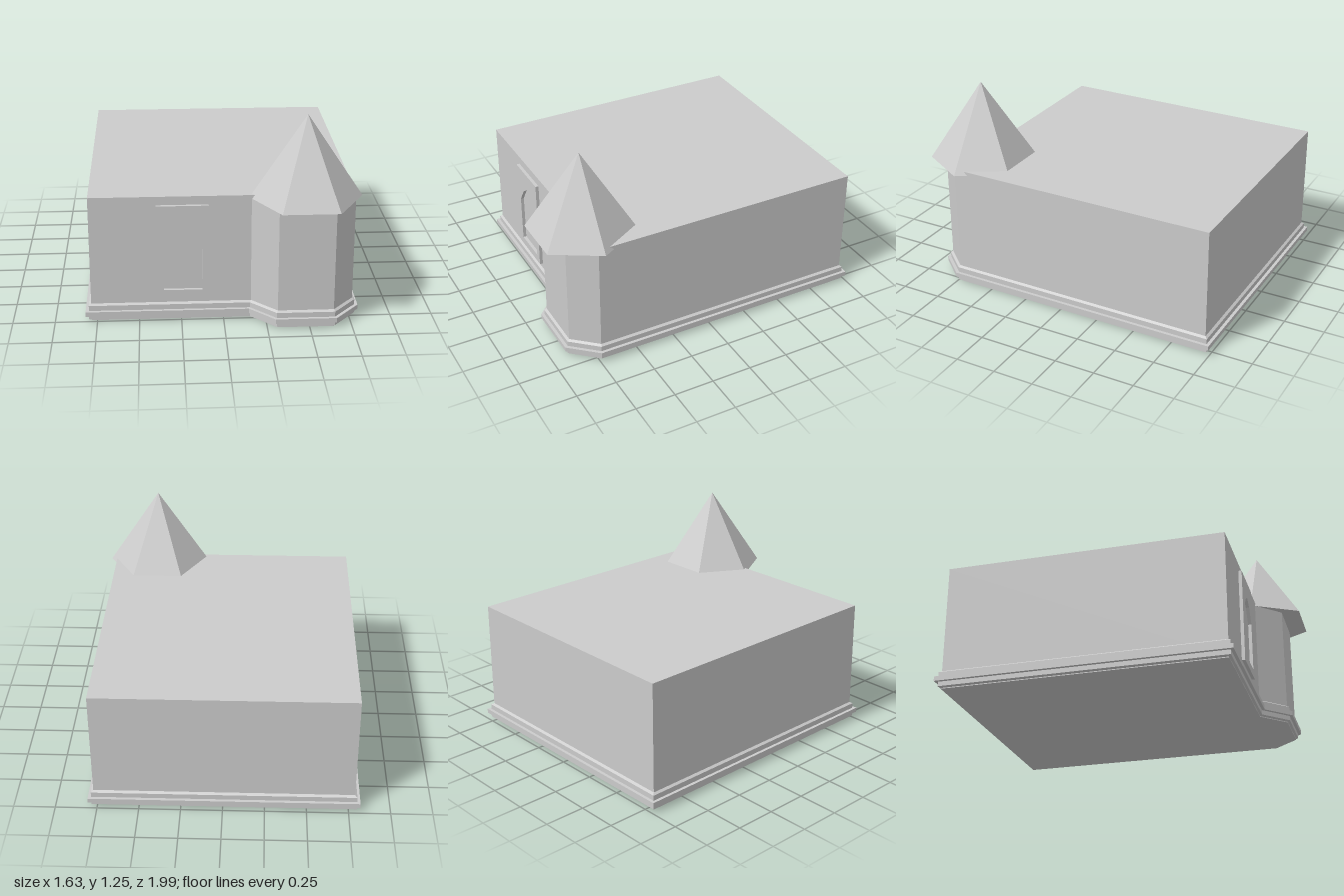
import * as THREE from 'three';

const material = new THREE.MeshStandardMaterial({ color: 0xcccccc, flatShading: true });

// Offsets a closed [x, z] outline outwards with mitred corners
function offsetOutline(points, d) {
  const n = points.length;
  const normal = (i) => {
    const a = points[(i + n) % n], b = points[(i + 1) % n];
    return new THREE.Vector2(b[1] - a[1], a[0] - b[0]).normalize();
  };
  return points.map(([x, z], i) => {
    const n0 = normal(i - 1), n1 = normal(i);
    const k = d / (1 + n0.dot(n1));
    return [x + (n0.x + n1.x) * k, z + (n0.y + n1.y) * k];
  });
}

// Stacks [offset, y] rings of an outline into a closed, flat-faced solid
function stackedSolid(points, profile) {
  const rings = profile.map(([d, y]) =>
    offsetOutline(points, d).map(([x, z]) => new THREE.Vector3(x, y, z)));
  const pos = [];
  const tri = (...corners) => corners.forEach((v) => pos.push(v.x, v.y, v.z));
  const n = points.length;
  for (let r = 0; r < rings.length - 1; r++) {
    const lo = rings[r], hi = rings[r + 1];
    for (let i = 0; i < n; i++) {
      const j = (i + 1) % n;
      tri(lo[i], hi[i], hi[j]);
      tri(lo[i], hi[j], lo[j]);
    }
  }
  const top = rings[rings.length - 1], bottom = rings[0];
  const caps = THREE.ShapeUtils.triangulateShape(points.map(([x, z]) => new THREE.Vector2(x, z)), []);
  for (const [a, b, c] of caps) {
    tri(bottom[a], bottom[b], bottom[c]);
    tri(top[a], top[c], top[b]);
  }
  const geometry = new THREE.BufferGeometry();
  geometry.setAttribute('position', new THREE.Float32BufferAttribute(pos, 3));
  geometry.computeVertexNormals();
  return geometry;
}

export function createModel() {
  const model = new THREE.Group();
  model.name = 'building';
  const add = (name, geometry, x = 0, y = 0, z = 0) => {
    const mesh = new THREE.Mesh(geometry, material);
    mesh.name = name;
    mesh.position.set(x, y, z);
    model.add(mesh);
    return mesh;
  };

  const left = -0.785, right = 0.77, back = -0.965, front = 0.732;
  const bay = [[right, front], [0.64, 0.88], [0.31, 0.88], [0.163, front]];

  // Main block
  add('mainWalls', stackedSolid(
    [[left, back], [right, back], [right, front], [left, front]], [[0, 0.005], [0, 0.78]]));

  // Corner tower: angled bay running back into the block
  add('towerWalls', stackedSolid(
    [[0.163, 0.6], [right - 0.01, 0.6], ...bay], [[0, 0.005], [0, 0.757]]));

  // Six-sided pointed roof
  const roof = add('towerRoof', new THREE.ConeGeometry(0.33, 0.498, 6), 0.48, 1.006, 0.706);
  roof.rotation.y = Math.PI / 2;

  // Moulded plinth following the whole footprint
  add('plinth', stackedSolid(
    [[left, back], [right, back], ...bay, [left, front]],
    [[0, 0], [0, 0.005], [0.014, 0.012], [0.014, 0.04], [0.033, 0.04],
      [0.033, 0.068], [0.014, 0.068], [0.014, 0.1], [0, 0.11]]));

  // Raised door surround with a pointed-arch recess
  const panel = new THREE.Shape([
    [-0.393, 0.147], [-0.087, 0.147], [-0.087, 0.728], [-0.393, 0.728],
  ].map(([x, y]) => new THREE.Vector2(x, y)));
  panel.holes.push(new THREE.Path([
    [-0.354, 0.196], [-0.354, 0.492], [-0.297, 0.58], [-0.24, 0.62],
    [-0.183, 0.58], [-0.126, 0.492], [-0.126, 0.196],
  ].map(([x, y]) => new THREE.Vector2(x, y))));
  add('archSurround', new THREE.ExtrudeGeometry(panel, { depth: 0.02, bevelEnabled: false }), 0, 0, front);

  return model;
}
